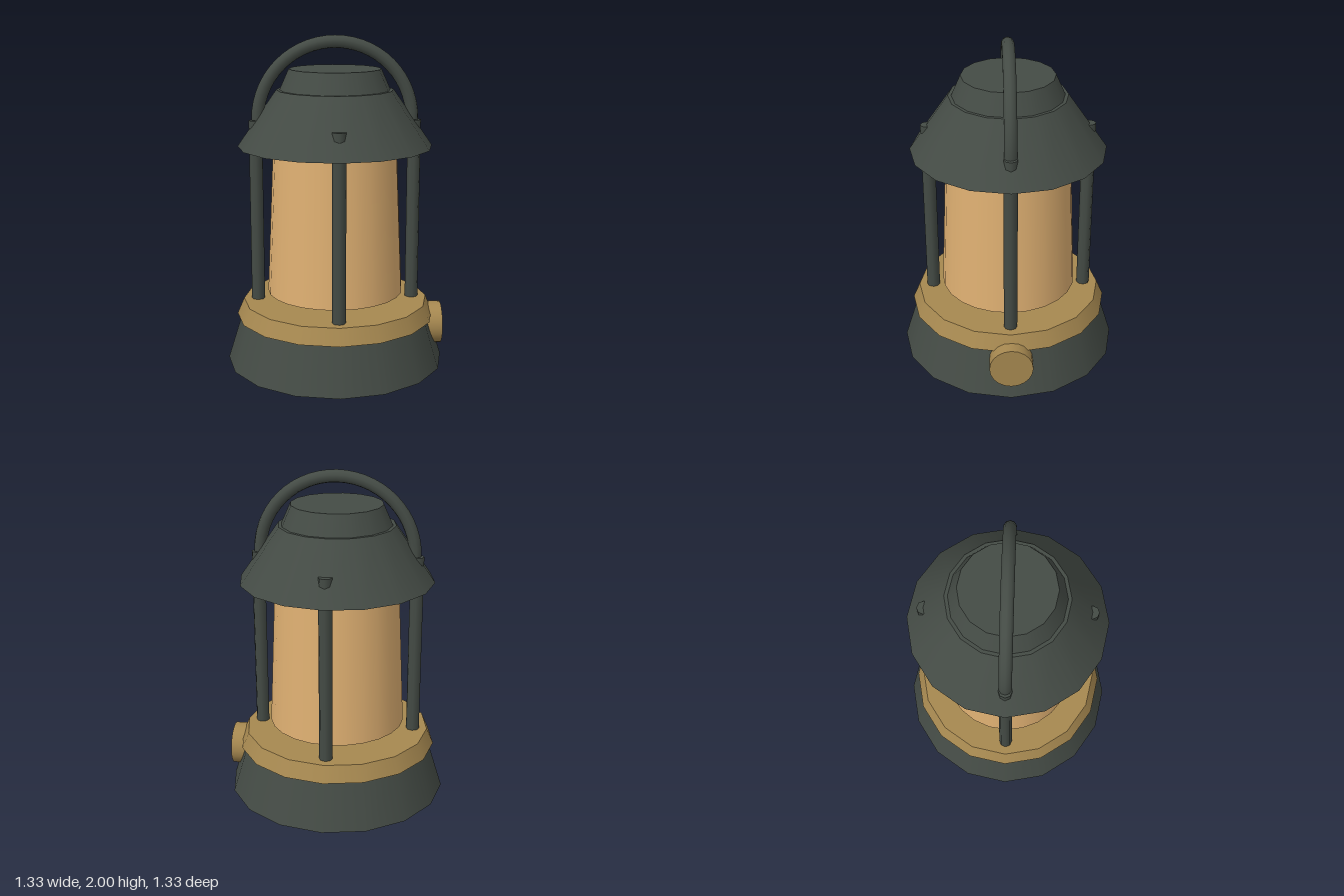
import * as THREE from 'three';

export function createModel() {
  const model = new THREE.Group();
  model.name = 'lantern';

  const paint = new THREE.MeshStandardMaterial({ name: 'dark green paint', color: 0x444b45 });
  const brass = new THREE.MeshStandardMaterial({ name: 'brass', color: 0xa68850 });
  const amber = new THREE.MeshStandardMaterial({ name: 'amber glass', color: 0xdfb072 });

  const add = (name, geometry, material) => {
    const mesh = new THREE.Mesh(geometry, material);
    mesh.name = name;
    model.add(mesh);
    return mesh;
  };

  // Upright tapered drum between two heights
  const drum = (name, y0, y1, r0, r1, sides, material) => {
    const mesh = add(name, new THREE.CylinderGeometry(r1, r0, y1 - y0, sides), material);
    mesh.position.y = (y0 + y1) / 2;
    return mesh;
  };

  // Body, from the ground up
  drum('base', 0, 0.28, 0.667, 0.58, 16, paint);
  drum('collar', 0.29, 0.387, 0.607, 0.565, 16, brass);
  drum('glass', 0.44, 1.36, 0.414, 0.372, 24, amber);
  drum('roof', 1.343, 1.68, 0.585, 0.35, 16, paint);
  drum('cap', 1.68, 1.803, 0.33, 0.275, 16, paint);

  // Four posts, whose tips poke through the roof
  for (let i = 0; i < 4; i++) {
    const a = (i * Math.PI) / 2;
    const post = drum('post', 0.37, 1.497, 0.04, 0.04, 8, paint);
    post.position.x = Math.sin(a) * 0.476;
    post.position.z = Math.cos(a) * 0.476;
  }

  // Arched carrying handle
  const handle = add('handle', new THREE.TorusGeometry(0.462, 0.038, 10, 28, Math.PI), paint);
  handle.position.y = 1.5;

  // Wick knob on the left side
  const knob = add('knob', new THREE.CylinderGeometry(0.13, 0.13, 0.12, 20), brass);
  knob.rotation.z = -Math.PI / 2;
  knob.position.set(0.6, 0.21, 0);

  return model;
}
